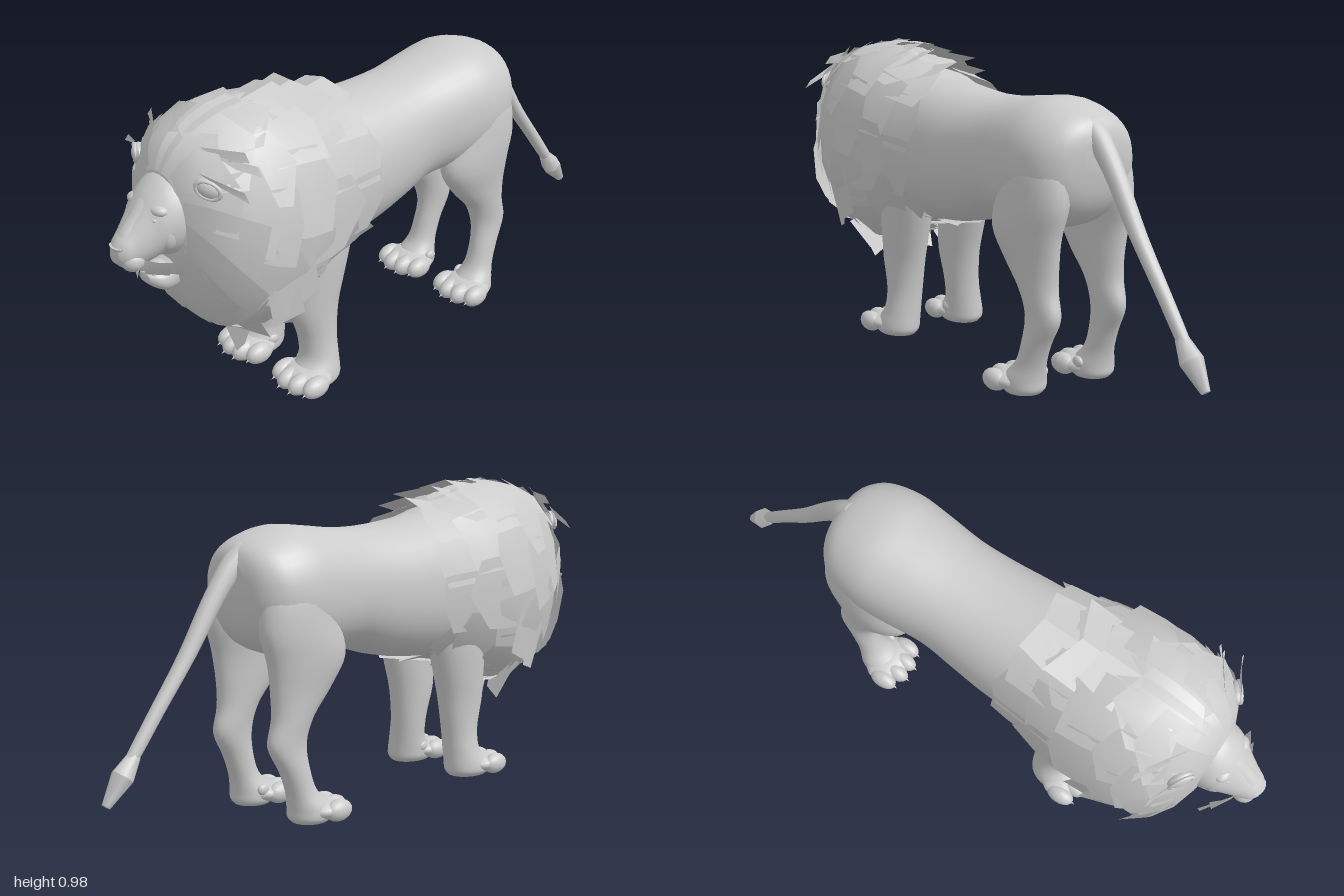
import * as THREE from 'three';

const skin = new THREE.MeshStandardMaterial({ color: 0xcccccc });
const sheet = new THREE.MeshStandardMaterial({ color: 0xcccccc, side: THREE.DoubleSide });

let seed = 7;
const rnd = (a, b) => {
  seed = (seed * 16807) % 2147483647;
  return a + (b - a) * (seed / 2147483647);
};

// Catmull-Rom value of a list of number rows at position t
function sample(rows, t) {
  const i = Math.min(Math.floor(t), rows.length - 2), f = t - i;
  const r = k => rows[Math.max(0, Math.min(rows.length - 1, k))];
  return rows[i].map((_, c) => {
    const [a, b, d, e] = [r(i - 1)[c], r(i)[c], r(i + 1)[c], r(i + 2)[c]];
    return b + 0.5 * f * (d - a + f * (2 * a - 5 * b + 4 * d - e + f * (3 * (b - d) + e - a)));
  });
}

// Closed smooth solid through elliptical sections [x, y, z, radiusX, radius2];
// rings lie in the xy plane, or in the xz plane when upright
function loft(rows, upright = false, sides = 28, power = 1) {
  const n = (rows.length - 1) * 4, pos = [], idx = [];
  const pw = v => Math.sign(v) * Math.abs(v) ** power;
  for (let i = 0; i <= n; i++) {
    const [x, y, z, a, b] = sample(rows, i / 4);
    for (let j = 0; j < sides; j++) {
      const th = j / sides * Math.PI * 2, p = a * pw(Math.sin(th)), q = b * pw(Math.cos(th));
      pos.push(x + p, y + (upright ? 0 : q), z + (upright ? q : 0));
      const k = i * sides + j, m = i * sides + (j + 1) % sides;
      if (i < n) idx.push(k, m, k + sides, m, m + sides, k + sides);
    }
  }
  const end = (n + 1) * sides;
  pos.push(...rows[0].slice(0, 3), ...rows[rows.length - 1].slice(0, 3));
  for (let j = 0; j < sides; j++) {
    const m = (j + 1) % sides;
    idx.push(end, m, j, end + 1, n * sides + j, n * sides + m);
  }
  // turn the faces outward
  let vol = 0;
  const v = k => new THREE.Vector3().fromArray(pos, k * 3);
  for (let i = 0; i < idx.length; i += 3) vol += v(idx[i]).dot(v(idx[i + 1]).cross(v(idx[i + 2])));
  if (vol < 0) idx.reverse();
  return build(pos, idx);
}

function build(pos, idx) {
  const g = new THREE.BufferGeometry();
  g.setAttribute('position', new THREE.Float32BufferAttribute(pos, 3));
  g.setIndex(idx);
  g.computeVertexNormals();
  return g;
}

// Sheet from a function of (u, v)
function patch(fn, nu = 2, nv = 3) {
  const pos = [], idx = [];
  for (let i = 0; i <= nv; i++) for (let j = 0; j <= nu; j++) {
    pos.push(...fn(j / nu, i / nv));
    const k = i * (nu + 1) + j;
    if (i < nv && j < nu) idx.push(k, k + nu + 1, k + 1, k + 1, k + nu + 1, k + nu + 2);
  }
  return build(pos, idx);
}

// Flat sheet between four corners
const quad = (a, b, c, d) => patch((u, v) => a.map((_, i) =>
  (a[i] * (1 - u) + b[i] * u) * (1 - v) + (d[i] * (1 - u) + c[i] * u) * v), 1, 1);

const ball = (x, y, z, rx, ry, rz) =>
  new THREE.SphereGeometry(1, 18, 12).scale(rx, ry, rz).translate(x, y, z);
const spike = (x, y, z, r, h, tilt) =>
  new THREE.ConeGeometry(r, h, 8).rotateX(tilt).translate(x, y, z);

function mirrored(g) {
  const m = g.clone();
  m.scale(-1, 1, 1);
  m.setIndex([...g.index.array].reverse());
  m.computeVertexNormals();
  return m;
}

// Mane volume: [z, top, bottom, half width] from face rim to shoulders
const maneRings = [
  [0.83, 0.845, 0.53, 0.095], [0.79, 0.90, 0.43, 0.17], [0.71, 0.945, 0.345, 0.23],
  [0.59, 0.967, 0.30, 0.257], [0.45, 0.948, 0.335, 0.25], [0.30, 0.90, 0.41, 0.218],
  [0.14, 0.868, 0.43, 0.192],
];
function manePoint(a, t, lift) {
  const [z, top, bottom, w] = sample(maneRings, Math.max(0, Math.min(6, t)));
  const s = Math.sin(a), c = Math.cos(a);
  return [(w + lift) * Math.sign(s) * Math.abs(s) ** 0.8, (top + bottom) / 2 + ((top - bottom) / 2 + lift) * c, z];
}

export function createModel() {
  const lion = new THREE.Group();
  lion.name = 'lion';
  const add = (name, g, mat = skin, parent = lion) => {
    const m = new THREE.Mesh(g, mat);
    m.name = name;
    parent.add(m);
  };
  const pair = (name, g, mat = skin, parent = lion) => {
    add(name + 'Left', g, mat, parent);
    add(name + 'Right', mirrored(g), mat, parent);
  };

  // Trunk: z, top, bottom, half width
  add('body', loft([
    [-0.535, 0.79, 0.70, 0.05], [-0.515, 0.835, 0.60, 0.125], [-0.46, 0.868, 0.53, 0.178],
    [-0.36, 0.892, 0.495, 0.198], [-0.25, 0.882, 0.49, 0.192], [-0.12, 0.865, 0.49, 0.18],
    [0, 0.86, 0.452, 0.187], [0.12, 0.866, 0.425, 0.197], [0.25, 0.88, 0.41, 0.20],
    [0.38, 0.90, 0.40, 0.195], [0.48, 0.90, 0.43, 0.18], [0.58, 0.88, 0.50, 0.15], [0.72, 0.85, 0.55, 0.10],
  ].map(([z, t, b, w]) => [0, (t + b) / 2, z, w, (t - b) / 2]), false, 36, 0.9));

  // Legs
  pair('frontLeg', loft([
    [0.09, 0.70, 0.34, 0.05, 0.08], [0.105, 0.62, 0.34, 0.07, 0.115], [0.112, 0.53, 0.345, 0.076, 0.125],
    [0.114, 0.45, 0.35, 0.076, 0.117], [0.113, 0.35, 0.36, 0.07, 0.10], [0.112, 0.26, 0.37, 0.064, 0.087],
    [0.116, 0.16, 0.363, 0.059, 0.065], [0.124, 0.09, 0.365, 0.062, 0.063], [0.13, 0.045, 0.385, 0.07, 0.083],
    [0.132, 0.018, 0.39, 0.07, 0.086], [0.132, 0.002, 0.39, 0.058, 0.074]], true));
  pair('hindLeg', loft([
    [0.09, 0.82, -0.39, 0.03, 0.06], [0.11, 0.72, -0.38, 0.075, 0.12], [0.121, 0.60, -0.37, 0.08, 0.147],
    [0.127, 0.50, -0.348, 0.072, 0.146], [0.125, 0.41, -0.37, 0.06, 0.112], [0.125, 0.33, -0.405, 0.05, 0.075],
    [0.125, 0.25, -0.428, 0.042, 0.07], [0.13, 0.17, -0.405, 0.042, 0.052], [0.132, 0.10, -0.38, 0.047, 0.05],
    [0.133, 0.05, -0.35, 0.065, 0.07], [0.133, 0.018, -0.345, 0.067, 0.073], [0.133, 0.002, -0.345, 0.055, 0.06]], true));

  // Paws with four toes and claws
  for (const [name, z] of [['frontPaw', 0.365], ['hindPaw', -0.375]]) {
    const paw = new THREE.Group();
    paw.name = name + 's';
    lion.add(paw);
    pair(name, ball(0.132, 0.036, z + 0.06, 0.09, 0.035, 0.075), skin, paw);
    [-0.07, -0.024, 0.024, 0.07].forEach((dx, i) => {
      const tz = z + (i % 3 ? 0.105 : 0.085), x = 0.132 + dx;
      pair('toe', ball(x, 0.034, tz, 0.03, 0.034, 0.05), skin, paw);
      pair('claw', spike(x, 0.026, tz + 0.049, 0.006, 0.022, Math.PI * 0.62), skin, paw);
    });
    pair('dewclaw', ball(0.068, 0.055, z + 0.02, 0.012, 0.018, 0.022), skin, paw);
  }

  // Tail and tuft
  add('tail', loft([
    [0, 0.85, -0.46, 0.036, 0.04], [0, 0.80, -0.51, 0.036, 0.048], [0, 0.69, -0.60, 0.03, 0.037],
    [0, 0.54, -0.70, 0.026, 0.03], [0, 0.39, -0.815, 0.021, 0.027], [0, 0.29, -0.89, 0.019, 0.025],
    [0, 0.23, -0.935, 0.015, 0.018]], true, 16));
  const tuft = (name, top, bottom, h, along) => add(name, new THREE.CylinderGeometry(top, bottom, h, 6)
    .translate(0, along, 0).rotateX(0.67).translate(0, 0.23, -0.935));
  tuft('tailTuftTop', 0.02, 0.036, 0.07, 0.035);
  tuft('tailTuftTip', 0.036, 0.014, 0.095, -0.0475);

  // Head: skull and muzzle, lower jaw, features
  add('head', loft([
    [0, 0.72, 0.66, 0.08, 0.10], [0, 0.72, 0.77, 0.108, 0.13], [0, 0.716, 0.83, 0.105, 0.122],
    [0, 0.706, 0.875, 0.092, 0.098], [0, 0.682, 0.91, 0.073, 0.082], [0, 0.66, 0.95, 0.054, 0.061],
    [0, 0.65, 0.98, 0.04, 0.043], [0, 0.65, 0.996, 0.018, 0.02]]));
  add('noseBridge', loft([
    [0, 0.785, 0.84, 0.035, 0.02], [0, 0.765, 0.885, 0.034, 0.026], [0, 0.722, 0.93, 0.026, 0.024],
    [0, 0.685, 0.968, 0.024, 0.022], [0, 0.664, 0.988, 0.018, 0.012]], false, 20));
  add('lowerJaw', loft([
    [0, 0.60, 0.72, 0.07, 0.06], [0, 0.55, 0.80, 0.062, 0.054], [0, 0.525, 0.85, 0.052, 0.04],
    [0, 0.532, 0.885, 0.042, 0.027], [0, 0.54, 0.905, 0.022, 0.014]], false, 24, 0.85));
  add('tongue', ball(0, 0.562, 0.86, 0.028, 0.01, 0.045));
  add('nose', new THREE.CylinderGeometry(0.03, 0.008, 0.036, 12).scale(1, 1, 0.55).translate(0, 0.655, 0.984));
  pair('muzzlePad', ball(0.024, 0.627, 0.952, 0.033, 0.033, 0.036));
  pair('cheekbone', ball(0.058, 0.69, 0.862, 0.038, 0.055, 0.034));
  pair('eye', ball(0.054, 0.74, 0.893, 0.014, 0.009, 0.012));
  pair('brow', ball(0.048, 0.762, 0.872, 0.034, 0.018, 0.025));
  pair('upperFang', spike(0.027, 0.585, 0.945, 0.008, 0.04, Math.PI));
  pair('lowerFang', spike(0.026, 0.57, 0.888, 0.007, 0.036, 0));
  for (const x of [0.006, 0.016]) {
    pair('upperIncisor', spike(x, 0.595, 0.962, 0.005, 0.016, Math.PI));
    pair('lowerIncisor', spike(x, 0.56, 0.894, 0.005, 0.014, 0));
  }
  pair('ear', ball(0, 0, 0, 0.042, 0.03, 0.022).rotateZ(-0.4).rotateY(0.6).translate(0.155, 0.832, 0.78));
  pair('earRim', new THREE.TorusGeometry(0.033, 0.007, 8, 18).scale(1.1, 0.75, 1)
    .rotateZ(-0.4).rotateY(0.6).translate(0.163, 0.832, 0.788));

  // Whisker fur beside the mouth
  pair('whiskerFur', quad([0.045, 0.622, 0.94], [0.15, 0.636, 0.875], [0.135, 0.588, 0.865], [0.03, 0.592, 0.945]), sheet);
  pair('lipFur', quad([0.04, 0.63, 0.94], [0.125, 0.63, 0.90], [0.095, 0.578, 0.885], [0.05, 0.585, 0.935]), sheet);

  // Mane core, then overlapping tiers of fur sheets
  const mane = new THREE.Group();
  mane.name = 'mane';
  lion.add(mane);
  add('maneCore', loft(maneRings.map(([z, t, b, w]) =>
    [0, (t + b) / 2, z, w * 0.95, (t - b) / 2 * 0.96]), false, 32, 0.85), skin, mane);
  // start, end, count per side, tip lift, droop
  const tiers = [
    [0, 1.9, 5, 0.026, 0.12], [0.7, 2.6, 5, 0.028, 0.16], [1.5, 3.4, 6, 0.026, 0.18],
    [2.4, 4.3, 5, 0.026, 0.14], [3.3, 5.1, 5, 0.026, 0.1], [4.1, 5.75, 5, 0.022, 0.02]];
  tiers.forEach(([t0, t1, n, lift, droop], row) => {
    for (let i = 0; i < n; i++) {
      const a0 = (i - 0.15 + (row % 2) * 0.3) / n * Math.PI, a1 = a0 + Math.PI / n * 1.25;
      const cut = [rnd(-0.5, 0), rnd(-0.1, 0.25), rnd(-0.6, 0.1)], up = rnd(0.5, 1.1) * lift;
      pair('maneFur', patch((u, v) => {
        const tip = u < 0.5 ? cut[0] + (cut[1] - cut[0]) * 2 * u : cut[1] + (cut[2] - cut[1]) * (2 * u - 1);
        const a = a0 + (a1 - a0) * u, hang = droop * v * Math.sin(Math.max(0, Math.min(Math.PI, a)));
        return manePoint(a + hang, t0 + (t1 - t0) * v + tip * v, 0.003 + up * v * (0.7 + 0.5 * u));
      }), sheet, mane);
    }
  });

  // Long locks sweeping from the face: angles at root, angles at tip, tip position, lift
  [[0.35, 0.8, 0.35, 0.95, 1.9, 0.022], [0.95, 1.4, 1.35, 1.85, 2.4, 0.03], [1.35, 1.9, 1.95, 2.5, 2.25, 0.045],
    [1.85, 2.35, 2.3, 2.75, 2.1, 0.035], [2.35, 2.8, 2.62, 3.0, 1.9, 0.03], [2.75, 3.14, 2.9, 3.14, 1.7, 0.024],
  ].forEach(([r0, r1, e0, e1, end, lift]) => pair('faceLock', patch((u, v) =>
    manePoint((r0 + (r1 - r0) * u) * (1 - v) + (e0 + (e1 - e0) * u) * v,
      0.1 + (end - 0.35 * u - 0.1) * v, 0.008 + lift * Math.sqrt(v) * (1 - 0.35 * u))), sheet, mane));
  pair('sideLock', quad([0.24, 0.62, 0.70], [0.272, 0.65, 0.52], [0.25, 0.42, 0.47], [0.232, 0.365, 0.59]), sheet, mane);
  pair('lowerSideLock', quad([0.235, 0.50, 0.66], [0.25, 0.52, 0.56], [0.252, 0.37, 0.53], [0.215, 0.34, 0.62]), sheet, mane);
  // Chest locks and hanging point
  pair('chestLock', quad([0.005, 0.36, 0.69], [0.15, 0.37, 0.64], [0.12, 0.23, 0.555], [0.03, 0.25, 0.61]), sheet, mane);
  pair('outerChestLock', quad([0.10, 0.38, 0.62], [0.22, 0.37, 0.55], [0.17, 0.28, 0.50], [0.125, 0.27, 0.53]), sheet, mane);
  pair('chestPoint', quad([0, 0.34, 0.66], [0.07, 0.31, 0.56], [0.022, 0.17, 0.575], [0, 0.14, 0.59]), sheet, mane);
  // Wispy points around the ears, and sheets along the crest
  [[0.19, 0.87, 0.80, 0.278, 0.815, 0.74], [0.19, 0.90, 0.74, 0.25, 0.86, 0.67],
    [0.15, 0.92, 0.76, 0.225, 0.90, 0.69]].forEach(([x, y, z, X, Y, Z]) =>
    pair('earWisp', quad([x - 0.05, y + 0.01, z], [x, y - 0.025, z - 0.03], [X, Y, Z], [X - 0.02, Y + 0.025, Z]), sheet, mane));
  [[0.76, 0.925], [0.66, 0.955], [0.55, 0.962], [0.45, 0.945], [0.35, 0.915]].forEach(([z, y], i) =>
    pair('crestFur', quad([0, y, z], [0.13, y - 0.05, z], [0.10 + (i % 2) * 0.03, y - 0.01, z - 0.16],
      [0, y + 0.022, z - 0.14 + (i % 2) * 0.03]), sheet, mane));

  return lion;
}
